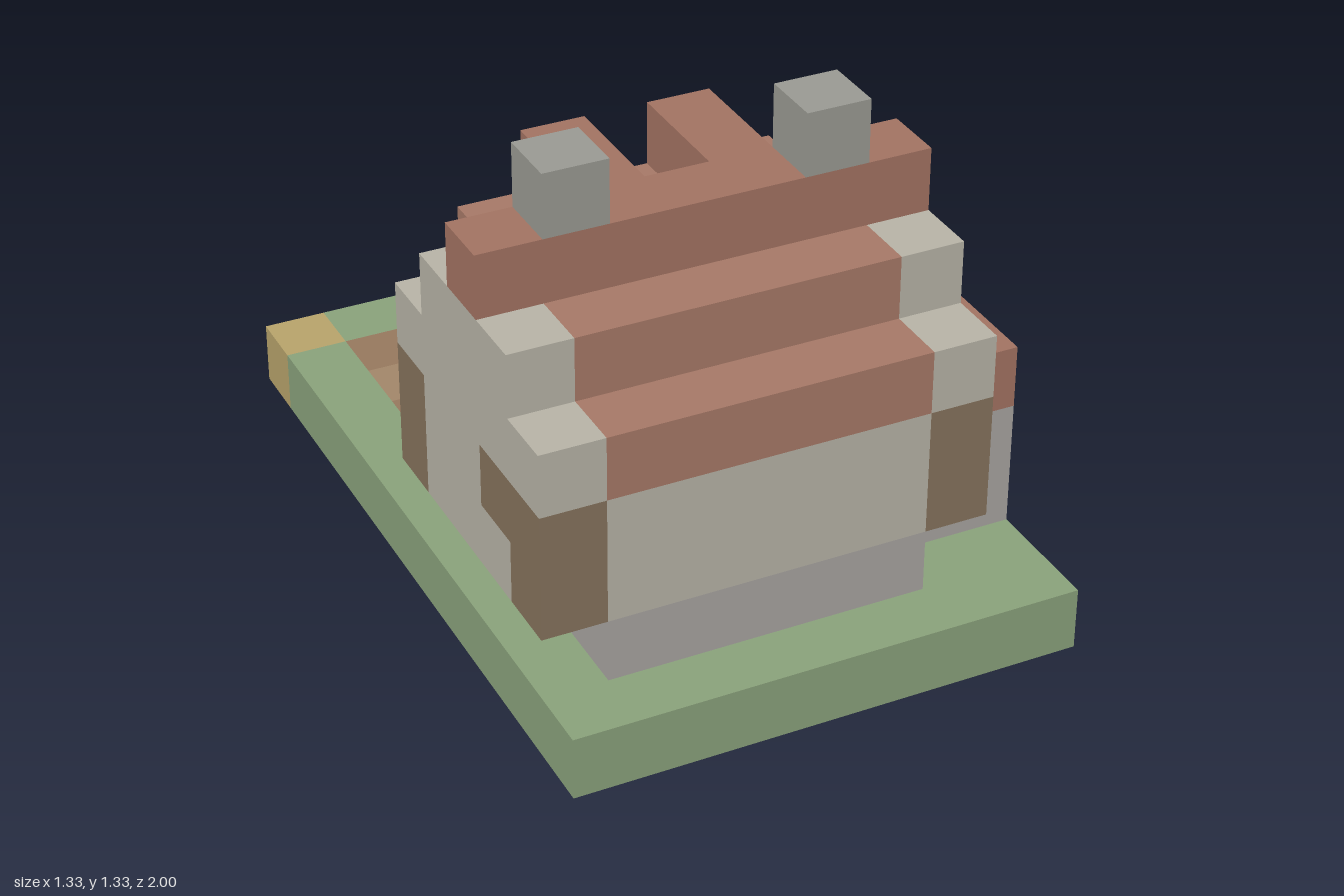
import * as THREE from 'three';
import { mergeGeometries } from 'three/addons/utils/BufferGeometryUtils.js';

const S = 1 / 6; // edge of one block

const C = {
  grass: 0x8ba37c, sand: 0xb9a56c, stone: 0xa9a6a2, paving: 0x9a9a98,
  plaster: 0xb9b5a8, timber: 0x87745d, roof: 0xa47463, brick: 0xa87a68, chimney: 0x9b9b94,
  soil: 0x98795f, soilLight: 0xa3876a, darkWood: 0x6f5d4b, tan: 0x9c8265, slate: 0x76777e,
  bush: 0x6f9070, bushLight: 0x7b9a75,
};

// Ground slab and garden, seen from the back corner at x = 0, z = 0
function buildGarden(put) {
  put('lawn', C.grass, 0, 0, 0, { w: 8, d: 12 });
  for (const x of [0, 7]) put('cornerStone', C.sand, x, 0, 0);
  put('leanToFooting', C.stone, 7, 0, 6, { d: 4 });
  for (let z = 1; z < 4; z++) {
    put(`gardenBed${z}`, z === 2 ? C.soilLight : C.soil, 1, 0, z, { w: 4 });
    put('gardenPath', C.paving, 5, 0, z);
  }
  put('gardenStone', C.paving, 3, 0, 2);
  put('pathStep', C.darkWood, 5, 0, 4);
  put('boulder', C.slate, 6, 1, 3);
  put('bush', C.bush, 6, 1, 1, { h: 2, d: 2 });
  put('bushBranch', C.bushLight, 7, 2, 1);
}

function buildHouse(put) {
  put('foundation', C.stone, 1, 1, 6, { w: 5, d: 5 });
  put('walls', C.plaster, 0, 2, 6, { w: 7, h: 3, d: 5 });
  put('gables', C.plaster, 0, 5, 7, { w: 7, d: 3 });
  for (const x of [0, 6])
    for (const z of [6, 10]) put('cornerPost', C.timber, x, 2, z, { h: 2 });
  put('sideBrace', C.timber, 0, 3, 9);
}

// Roof stepping up from the front eave to the ridge, with two dormers behind
function buildRoof(put) {
  for (let step = 0; step < 2; step++)
    put('frontRoof', C.brick, 1, 4 + step, 10 - step, { w: 5 });
  put('backRoof', C.roof, 1, 5, 6, { w: 5, d: 3 });
  put('ridge', C.roof, 0, 6, 8, { w: 7 });
  for (const x of [1, 3, 5]) put('backRoofStrip', C.brick, x, 4, 6, { h: 2 });
  for (const x of [2, 4]) {
    put('dormerWall', C.plaster, x, 4, 6, { h: 2 });
    put('dormerRoof', C.roof, x, 6, 6, { d: 2 });
  }
  for (const x of [1, 5]) put('chimney', C.chimney, x, 7, 8);
}

// Lean-to on the left side and porch at the back
function buildAdditions(put) {
  put('leanToBase', C.stone, 6, 1, 7, { w: 2, d: 3 });
  put('leanToWall', C.stone, 7, 2, 6, { d: 4 });
  put('leanToPanel', C.brick, 7, 2, 7, { d: 2 });
  put('leanToRoof', C.roof, 7, 3, 7, { d: 3 });
  put('porchShelf', C.tan, 4, 2, 5, { w: 2 });
  put('doorCanopy', C.darkWood, 3, 3, 5);
  put('porchStone', C.slate, 2, 2, 5);
  put('porchCrate', C.tan, 1, 2, 5);
}

// One square of a block, facing along the direction d
function blockFace(p, d) {
  const g = new THREE.PlaneGeometry(S, S);
  if (d.y) g.rotateX(-d.y * Math.PI / 2);
  else g.rotateY(Math.atan2(d.x, d.z));
  return g.translate(
    (p.x - 3.5 + d.x / 2) * S, (p.y + 0.5 + d.y / 2) * S, (p.z - 5.5 + d.z / 2) * S);
}

export function createModel() {
  // Each block remembers its part; a later part replaces an earlier one
  const blocks = new Map();
  const key = (p) => `${p.x},${p.y},${p.z}`;
  const put = (name, color, x0, y0, z0, { w = 1, h = 1, d = 1 } = {}) => {
    for (let x = x0; x < x0 + w; x++)
      for (let y = y0; y < y0 + h; y++)
        for (let z = z0; z < z0 + d; z++) {
          const p = new THREE.Vector3(x, y, z);
          blocks.set(key(p), { p, name, color });
        }
  };
  [buildGarden, buildHouse, buildRoof, buildAdditions].forEach((build) => build(put));

  // Keep only the exposed faces; the underside of the slab stays open
  const dirs = ['x', 'y', 'z'].flatMap((axis) =>
    [1, -1].map((sign) => new THREE.Vector3().setComponent('xyz'.indexOf(axis), sign)));
  const parts = new Map();
  for (const { p, name, color } of blocks.values()) {
    for (const d of dirs) {
      const next = p.clone().add(d);
      if (next.y < 0 || blocks.has(key(next))) continue;
      if (!parts.has(name)) parts.set(name, { color, faces: [] });
      parts.get(name).faces.push(blockFace(p, d));
    }
  }

  const group = new THREE.Group();
  group.name = 'cottage';
  for (const [name, { color, faces }] of parts) {
    const mesh = new THREE.Mesh(
      mergeGeometries(faces),
      new THREE.MeshStandardMaterial({ color, side: THREE.DoubleSide }));
    mesh.name = name;
    group.add(mesh);
  }
  return group;
}
